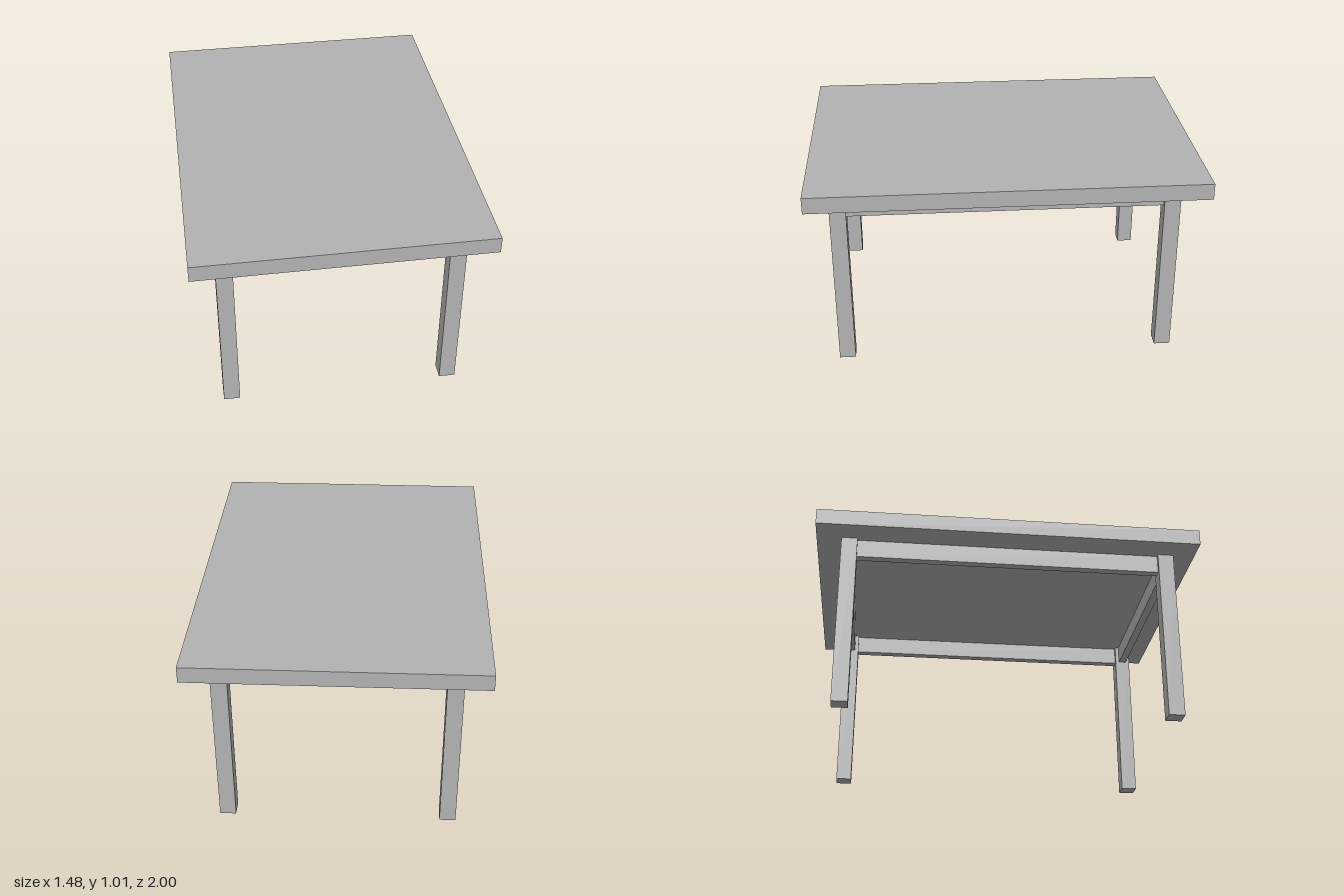
import * as THREE from 'three';

export function createModel() {
  const table = new THREE.Group();
  table.name = 'table';
  const grey = new THREE.MeshStandardMaterial({ color: 0xb2b2b2 });
  grey.name = 'grey';

  const TOP = 1.006, UNDERSIDE = 0.922, APRON_BOTTOM = 0.825;
  const LEG = 0.083, APRON = 0.042;
  const LEG_X = 0.57, LEG_Z = 0.837, SHIFT_Z = 0.007; // the frame sits slightly forward

  // Box spanning y0 to y1, centred on x and z
  function addBox(parent, name, width, depth, y0, y1, x, z) {
    const mesh = new THREE.Mesh(new THREE.BoxGeometry(width, y1 - y0, depth), grey);
    mesh.name = name;
    mesh.position.set(x, (y0 + y1) / 2, z);
    parent.add(mesh);
  }

  // Tabletop
  addBox(table, 'tabletop', 1.476, 2, UNDERSIDE, TOP, 0, 0);

  // Legs and the aprons that join them
  const frame = new THREE.Group();
  frame.name = 'frame';
  frame.position.z = SHIFT_Z;
  table.add(frame);
  for (const [side, sx] of [['left', 1], ['right', -1]]) {
    for (const [end, sz] of [['Front', 1], ['Back', -1]]) {
      addBox(frame, `${side}${end}Leg`, LEG, LEG, 0, UNDERSIDE, sx * LEG_X, sz * LEG_Z);
    }
    addBox(frame, `${side}Apron`, APRON, 2 * LEG_Z - LEG, APRON_BOTTOM, UNDERSIDE, sx * LEG_X, 0);
  }
  for (const [end, sz] of [['front', 1], ['back', -1]]) {
    addBox(frame, `${end}Apron`, 2 * LEG_X - LEG, APRON, APRON_BOTTOM, UNDERSIDE, 0, sz * LEG_Z);
  }
  return table;
}
